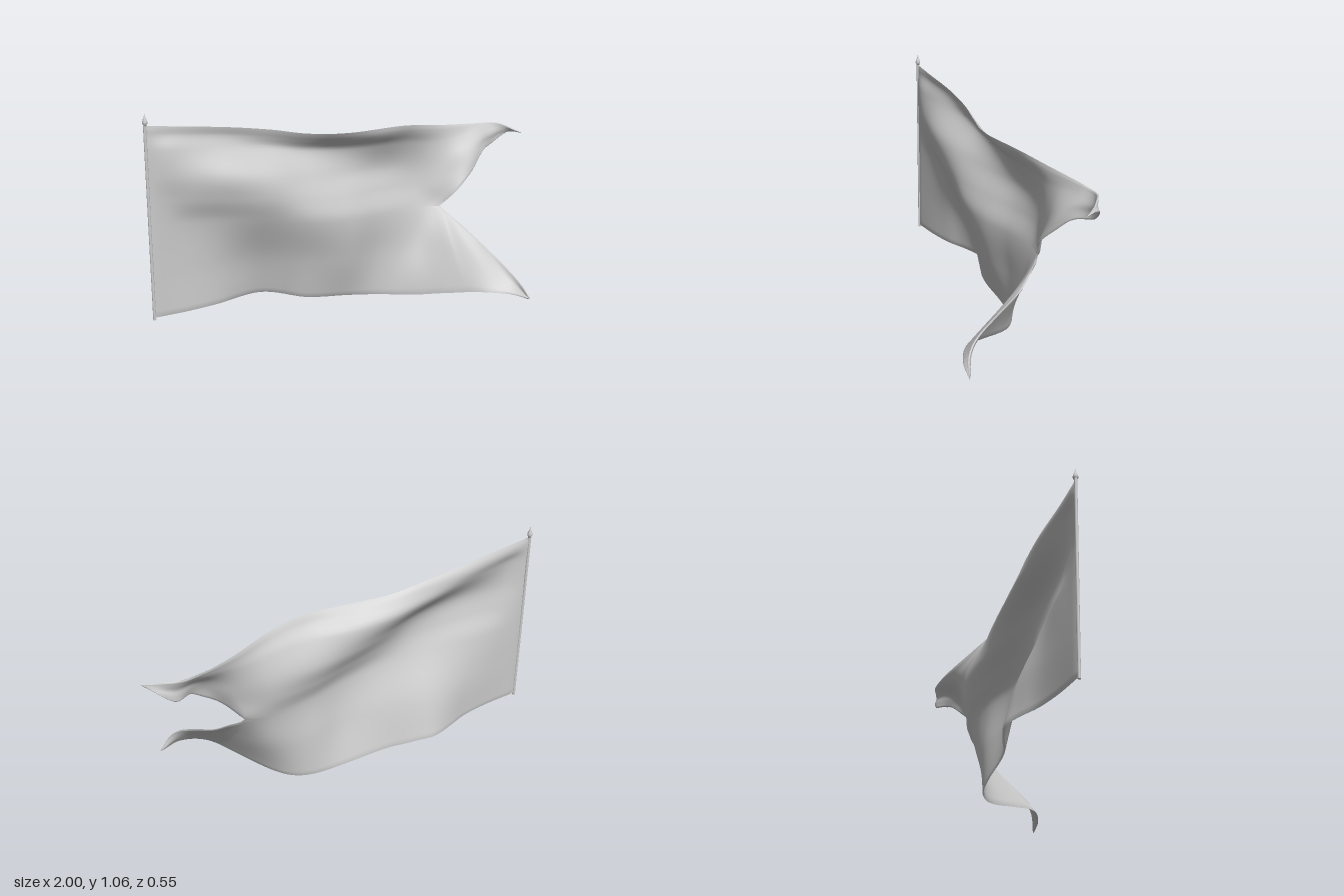
import * as THREE from 'three';
import { mergeVertices, mergeGeometries } from 'three/addons/utils/BufferGeometryUtils.js';

const HOIST = -0.988, NOTCH = 0.525, POLE_Z = -0.14;
const BODY_COLS = 64, TAIL_COLS = 24, ROWS = 30;

// Smooth function value(x) through [x, value] pairs
function spline(pts) {
  const slope = pts.map((p, i) => {
    const a = pts[Math.max(i - 1, 0)], b = pts[Math.min(i + 1, pts.length - 1)];
    return (b[1] - a[1]) / (b[0] - a[0]);
  });
  return (x) => {
    x = THREE.MathUtils.clamp(x, pts[0][0], pts[pts.length - 1][0]);
    let i = 0;
    while (i < pts.length - 2 && x > pts[i + 1][0]) i++;
    const w = pts[i + 1][0] - pts[i][0], t = (x - pts[i][0]) / w, s = 1 - t;
    return (1 + 2 * t) * s * s * pts[i][1] + t * s * s * w * slope[i]
      + t * t * (3 - 2 * t) * pts[i + 1][1] - t * t * s * w * slope[i + 1];
  };
}

// Heights of the cloth's edges
const topY = spline([[-0.99, 1.01], [-0.6, 0.962], [-0.38, 0.928], [-0.2, 0.895], [0, 0.885], [0.3, 0.888], [0.6, 0.845], [0.8, 0.826], [0.91, 0.822], [0.995, 0.778]]);
const bottomY = spline([[-0.99, 0.09], [-0.4, 0.083], [-0.2, 0.045], [0, 0.025], [0.25, 0.003], [0.35, 0.012], [0.48, 0.055], [0.58, 0.085], [0.7, 0.08], [0.81, 0.04]]);
const middleY = spline([[-0.99, 0.55], [-0.4, 0.5], [0, 0.455], [0.525, 0.44]]);
const upperFlyY = spline([[0.525, 0.44], [0.62, 0.54], [0.71, 0.62], [0.79, 0.692], [0.87, 0.712], [0.93, 0.755], [0.965, 0.782], [0.995, 0.778]]);
const lowerFlyY = spline([[0.525, 0.44], [0.63, 0.325], [0.73, 0.175], [0.81, 0.04]]);

// Depth of the billowing cloth along rows from top to bottom
const topZ = spline([[-0.99, -0.14], [-0.8, -0.15], [-0.6, -0.165], [-0.38, -0.168], [-0.2, -0.15], [-0.05, -0.125], [0.15, -0.122], [0.3, -0.14], [0.45, -0.185], [0.6, -0.235], [0.75, -0.27], [0.87, -0.274], [0.95, -0.225], [0.995, -0.165]]);
const hemZ = spline([[-0.99, -0.14], [-0.8, -0.158], [-0.6, -0.18], [-0.4, -0.186], [-0.2, -0.178], [0, -0.153], [0.2, -0.142], [0.4, -0.18], [0.6, -0.23], [0.75, -0.262], [0.87, -0.272], [0.95, -0.226], [0.995, -0.165]]);
const shoulderZ = spline([[-0.99, -0.14], [-0.9, -0.128], [-0.8, -0.138], [-0.6, -0.165], [-0.4, -0.193], [-0.2, -0.208], [0, -0.205], [0.2, -0.188], [0.4, -0.205], [0.6, -0.222], [0.75, -0.247], [0.87, -0.267], [0.95, -0.228], [0.995, -0.165]]);
const upperZ = spline([[-0.99, -0.14], [-0.9, -0.123], [-0.8, -0.11], [-0.6, -0.095], [-0.4, -0.11], [-0.2, -0.155], [0, -0.2], [0.2, -0.23], [0.4, -0.23], [0.55, -0.2], [0.7, -0.19], [0.86, -0.255], [0.95, -0.235], [0.995, -0.165]]);
const centreZ = spline([[-0.99, -0.14], [-0.9, -0.138], [-0.8, -0.125], [-0.6, -0.105], [-0.4, -0.095], [-0.2, -0.11], [0, -0.15], [0.2, -0.205], [0.4, -0.222], [0.55, -0.18], [0.7, -0.165], [0.86, -0.258], [0.95, -0.24], [0.995, -0.165]]);
const middle = [[-0.99, -0.14], [-0.8, -0.155], [-0.6, -0.145], [-0.4, -0.123], [-0.2, -0.096], [0, -0.115], [0.2, -0.17], [0.4, -0.195], [0.525, -0.17]];
const upperFlyZ = spline([...middle, [0.6, -0.133], [0.68, -0.145], [0.78, -0.2], [0.86, -0.26], [0.93, -0.255], [0.965, -0.23], [0.995, -0.165]]);
const lowerFlyZ = spline([...middle, [0.58, -0.11], [0.63, -0.04], [0.68, 0.09], [0.725, 0.205], [0.765, 0.258], [0.81, 0.27]]);
const lowerZ = spline([[-0.99, -0.14], [-0.7, -0.18], [-0.45, -0.218], [-0.2, -0.16], [0, -0.145], [0.2, -0.182], [0.4, -0.145], [0.525, -0.04], [0.62, 0.09], [0.72, 0.225], [0.81, 0.27]]);
const bottomZ = spline([[-0.99, -0.14], [-0.8, -0.162], [-0.65, -0.195], [-0.54, -0.24], [-0.43, -0.272], [-0.32, -0.248], [-0.2, -0.208], [0.05, -0.2], [0.2, -0.183], [0.3, -0.135], [0.4, -0.035], [0.5, 0.09], [0.6, 0.205], [0.72, 0.265], [0.81, 0.27]]);

// One half of the cloth, from its outer edge to the middle line and tail
function clothHalf({ tip, edgeY, flyY, depthRows, flyZ, beyond: [beyondP, beyondZ], flip }) {
  const pos = [], rim = [], index = [], cols = BODY_COLS + TAIL_COLS;
  for (let i = 0; i <= cols; i++) {
    const x = i <= BODY_COLS
      ? THREE.MathUtils.lerp(HOIST, NOTCH, i / BODY_COLS)
      : THREE.MathUtils.lerp(NOTCH, tip, (i - BODY_COLS) / TAIL_COLS);
    const inner = i <= BODY_COLS ? middleY(x) : flyY(x);
    const section = depthRows.map(([p, z]) => [p, z(x)]);
    const m = flyZ(x), [lastP, lastZ] = section[section.length - 1];
    const straight = m + (m - lastZ) * (beyondP - 1) / (1 - lastP);
    const free = THREE.MathUtils.smoothstep(x, NOTCH - 0.02, 0.6);
    const depth = spline([...section, [1, m], [beyondP, THREE.MathUtils.lerp(beyondZ(x), straight, free)]]);
    for (let j = 0; j <= ROWS; j++) {
      const p = j / ROWS;
      pos.push(x, THREE.MathUtils.lerp(edgeY(x), inner, p), depth(p));
      rim.push(i === 0 || i === cols || j === 0 || (j === ROWS && i >= BODY_COLS) ? 0 : 1);
      if (i < cols && j < ROWS) {
        const a = i * (ROWS + 1) + j, b = a + 1, c = a + ROWS + 1, d = c + 1;
        if (flip) index.push(a, c, b, b, c, d);
        else index.push(a, b, c, b, d, c);
      }
    }
  }
  const g = new THREE.BufferGeometry();
  g.setAttribute('position', new THREE.Float32BufferAttribute(pos, 3));
  g.setAttribute('rim', new THREE.Float32BufferAttribute(rim, 1));
  g.setIndex(index);
  return g;
}

// Two sheets pushed apart and closed along the rim
function thicken(sheet, half) {
  sheet.computeVertexNormals();
  const sides = [1, -1].map((sign) => {
    const g = new THREE.BufferGeometry();
    const p = sheet.attributes.position.clone(), n = sheet.attributes.normal, r = sheet.attributes.rim;
    for (let i = 0; i < p.count; i++) {
      const k = sign * half * r.getX(i);
      p.setXYZ(i, p.getX(i) + n.getX(i) * k, p.getY(i) + n.getY(i) * k, p.getZ(i) + n.getZ(i) * k);
    }
    g.setAttribute('position', p);
    const idx = Array.from(sheet.index.array);
    g.setIndex(sign > 0 ? idx : idx.reverse());
    g.computeVertexNormals();
    return g;
  });
  return mergeGeometries(sides);
}

export function createModel() {
  const model = new THREE.Group();
  const add = (name, geometry, side = THREE.FrontSide) => {
    const mesh = new THREE.Mesh(geometry, new THREE.MeshStandardMaterial({ color: 0xcccccc, side }));
    mesh.name = name;
    model.add(mesh);
    return mesh;
  };

  // Swallow-tailed cloth
  const upper = clothHalf({
    tip: 0.995, edgeY: topY, flyY: upperFlyY, flyZ: upperFlyZ, beyond: [1.5, lowerZ], flip: false,
    depthRows: [[0, topZ], [0.09, hemZ], [0.22, shoulderZ], [0.5, upperZ], [0.75, centreZ]],
  });
  const lower = clothHalf({
    tip: 0.81, edgeY: bottomY, flyY: lowerFlyY, flyZ: lowerFlyZ, beyond: [1.25, centreZ], flip: true,
    depthRows: [[0, bottomZ], [0.5, lowerZ]],
  });
  add('flagCloth', thicken(mergeVertices(mergeGeometries([upper, lower])), 0.004), THREE.DoubleSide);

  // Pole along the hoist
  add('pole', new THREE.CylinderGeometry(0.007, 0.007, 0.935, 16)).position.set(-0.99, 0.5475, POLE_Z);

  // Pointed finial
  const profile = [[0, 0], [0.008, 0], [0.008, 0.006], [0.012, 0.009], [0.012, 0.018], [0.008, 0.03], [0.004, 0.04], [0, 0.056]];
  add('finial', new THREE.LatheGeometry(profile.map(([r, y]) => new THREE.Vector2(r, y)), 16)).position.set(-0.988, 1.01, POLE_Z);

  return model;
}
